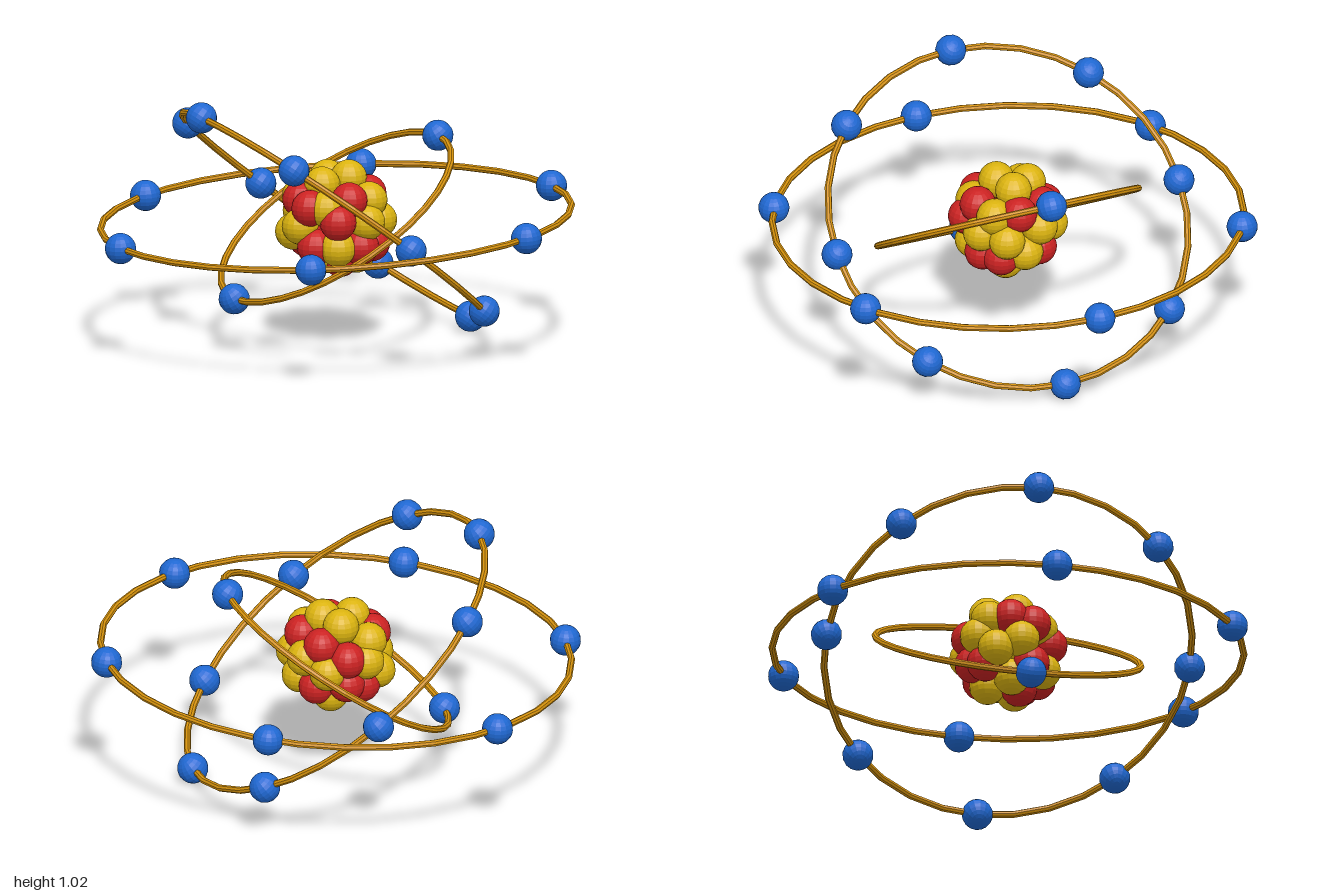
import * as THREE from 'three';

const mat = (name, color) => {
  const m = new THREE.MeshStandardMaterial({ color, flatShading: true });
  m.name = name;
  return m;
};

export function createModel() {
  const model = new THREE.Group();
  model.name = 'atom';
  const yellow = mat('yellow', 0xdcb40f);
  const red = mat('red', 0xcc2222);
  const blue = mat('blue', 0x1f68d2);
  const gold = mat('gold', 0xd6920c);
  const centreY = 0.513;

  const add = (parent, geometry, material, name, x = 0, y = 0, z = 0) => {
    const mesh = new THREE.Mesh(geometry, material);
    mesh.name = name;
    mesh.position.set(x, y, z);
    parent.add(mesh);
  };

  // Nucleus: a packed cluster of two kinds of ball
  const nucleus = new THREE.Group();
  nucleus.name = 'nucleus';
  nucleus.position.y = centreY;
  model.add(nucleus);
  const ball = new THREE.SphereGeometry(0.073, 16, 12);

  const neutrons = [
    [0.055, 0.155, 0], [-0.07, 0.14, 0.02], [0, 0.145, -0.085],
    [-0.09, 0.06, 0.11], [0.1, 0.08, 0.1], [-0.11, 0.08, -0.1],
    [0.145, 0.02, -0.075], [0.155, -0.01, 0.07], [0.15, -0.08, -0.01],
    [0.07, 0, 0.145], [-0.05, -0.1, 0.13], [-0.165, -0.02, 0.02],
    [0.04, -0.145, -0.075], [-0.07, -0.145, 0], [-0.09, 0.01, -0.14],
    [0.07, -0.02, -0.15], [0.07, -0.15, 0.04], [-0.15, -0.06, -0.08],
    [0, 0, 0],
  ];
  const protons = [
    [0, 0.09, 0.13], [0.135, 0.09, 0.01], [0.085, 0.08, -0.11],
    [-0.145, 0.06, 0.07], [-0.145, 0.08, -0.02], [-0.06, 0.01, 0.155],
    [-0.12, -0.1, 0.07], [0.12, -0.1, 0.08], [0.05, -0.1, 0.13],
    [0, -0.16, 0.045], [0.1, -0.1, -0.09], [-0.08, -0.1, -0.11],
    [-0.01, 0.03, -0.16], [-0.01, -0.08, -0.145],
  ];
  neutrons.forEach((p) => add(nucleus, ball, yellow, 'neutron', ...p));
  protons.forEach((p) => add(nucleus, ball, red, 'proton', ...p));

  // Tilted orbits, each with evenly spaced electrons
  const electron = new THREE.SphereGeometry(0.062, 16, 12);
  const orbits = [
    ['innerOrbit', 0.532, 33.7, 2],
    ['middleOrbit', 0.738, -37.6, 8],
    ['outerOrbit', 0.938, 3.1, 6],
  ];
  for (const [name, radius, tilt, count] of orbits) {
    const orbit = new THREE.Group();
    orbit.name = name;
    orbit.position.y = centreY;
    orbit.rotation.z = THREE.MathUtils.degToRad(tilt);
    model.add(orbit);
    const ring = new THREE.TorusGeometry(radius, 0.014, 8, 32).rotateX(Math.PI / 2);
    add(orbit, ring, gold, 'ring');
    for (let i = 0; i < count; i++) {
      const a = (i / count) * Math.PI * 2;
      add(orbit, electron, blue, 'electron', Math.cos(a) * radius, 0, Math.sin(a) * radius);
    }
  }
  return model;
}
